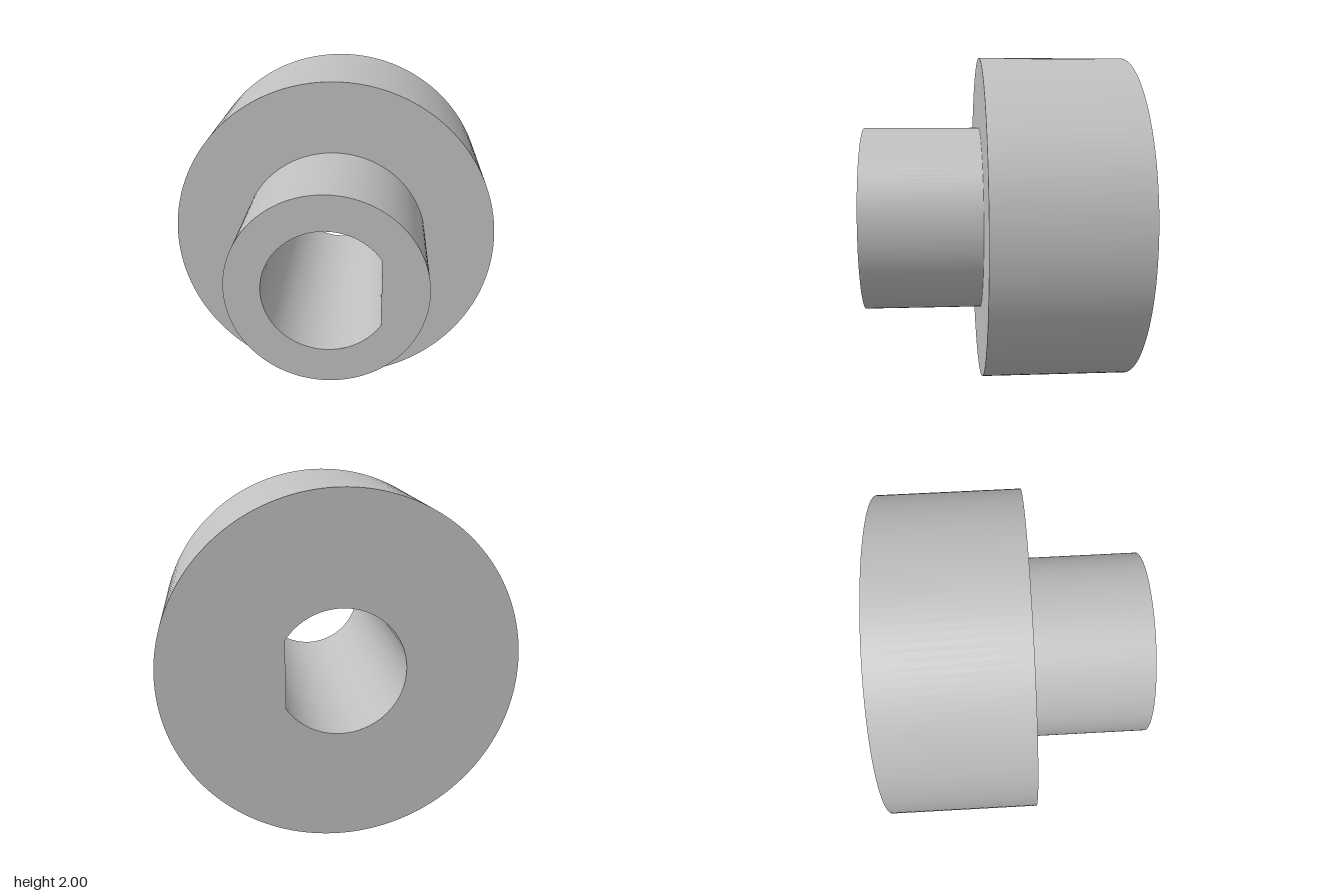
import * as THREE from 'three';

const SEG = 128;
const BACK = -0.8, STEP = 0.085, FRONT = 0.8;
const FLANGE_R = 1, HUB_R = 0.57, BORE_R = 0.363, FLAT_X = 0.305;
const FLAT_ANGLE = Math.acos(FLAT_X / BORE_R);

// Round wall along z; going from a lower to a higher z faces it outwards
function wall(radius, z0, z1, start = 0, length = Math.PI * 2) {
  const points = [new THREE.Vector2(radius, z0), new THREE.Vector2(radius, z1)];
  return new THREE.LatheGeometry(points, SEG, start, length).rotateX(Math.PI / 2);
}

// Disc with a D-shaped hole, its flat towards +x (side 1) or -x (side -1)
function endFace(radius, side) {
  const shape = new THREE.Shape().absarc(0, 0, radius, 0, Math.PI * 2);
  const middle = side > 0 ? 0 : Math.PI;
  const hole = new THREE.Path().absarc(
    0, 0, BORE_R, middle + FLAT_ANGLE, middle + Math.PI * 2 - FLAT_ANGLE);
  hole.closePath();
  shape.holes.push(hole);
  return new THREE.ShapeGeometry(shape, SEG);
}

export function createModel() {
  const model = new THREE.Group();
  model.name = 'flangedBushing';
  const grey = new THREE.MeshStandardMaterial({ color: 0xc0c0c0 });
  grey.name = 'grey metal';

  const group = (name) => {
    const g = new THREE.Group();
    g.name = name;
    model.add(g);
    return g;
  };
  const add = (parent, name, geometry) => {
    const mesh = new THREE.Mesh(geometry, grey);
    mesh.name = name;
    parent.add(mesh);
  };

  // Wide flange at the back
  const flange = group('flange');
  add(flange, 'flangeRim', wall(FLANGE_R, BACK, STEP));
  add(flange, 'flangeBack', endFace(FLANGE_R, -1).rotateY(Math.PI).translate(0, 0, BACK));
  add(flange, 'flangeShoulder', new THREE.RingGeometry(HUB_R, FLANGE_R, SEG).translate(0, 0, STEP));

  // Narrow hub at the front
  const hub = group('hub');
  add(hub, 'hubWall', wall(HUB_R, STEP, FRONT));
  add(hub, 'hubFront', endFace(HUB_R, 1).translate(0, 0, FRONT));

  // D-shaped through bore: inward round wall and the key flat
  const bore = group('bore');
  add(bore, 'boreWall', wall(BORE_R, FRONT, BACK,
    Math.PI / 2 + FLAT_ANGLE, Math.PI * 2 - 2 * FLAT_ANGLE));
  add(bore, 'boreFlat',
    new THREE.PlaneGeometry(FRONT - BACK, 2 * BORE_R * Math.sin(FLAT_ANGLE))
      .rotateY(-Math.PI / 2).translate(FLAT_X, 0, 0));

  // Stand the rim on the ground
  for (const part of model.children) part.position.y = FLANGE_R;
  return model;
}
